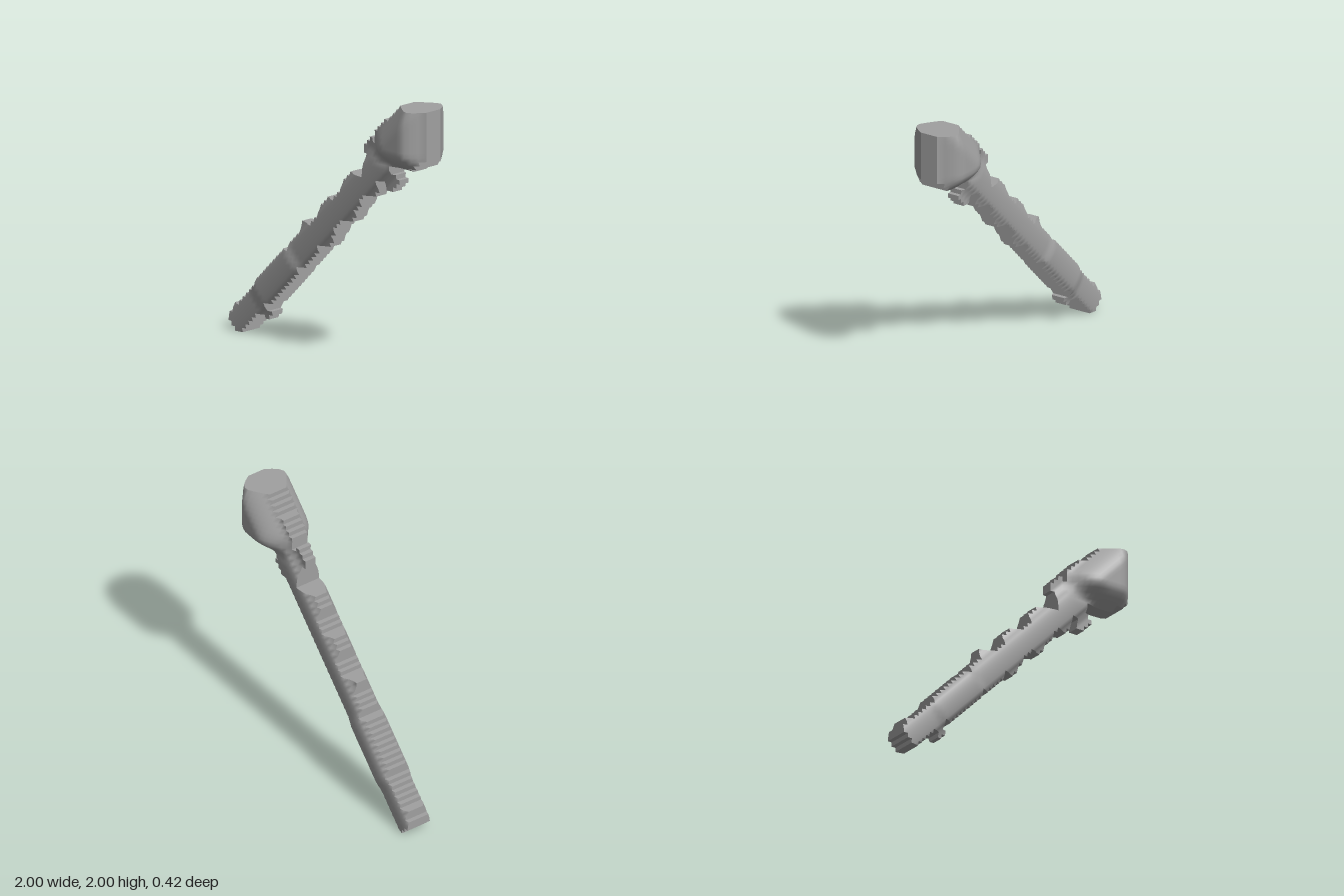
import * as THREE from 'three';

const N = 60, CELL = 2 / N;

// stepped outline as [column, row] key points, in cells
const UPPER = [[0, 4], [1, 6], [2, 6], [7, 11], [8, 13], [15, 20], [16, 21], [17, 21], [18, 23], [20, 25],
  [21, 28], [24, 28], [26, 30], [27, 33], [29, 35], [31, 35], [33, 37], [34, 40], [36, 42], [40, 42],
  [41, 50], [42, 51], [43, 50], [44, 53], [47, 56], [48, 56], [52, 60], [59, 60]];
const LOWER = [[0, 2], [2, 0], [3, 0], [8, 5], [9, 5], [10, 4], [11, 5], [12, 8], [20, 16], [21, 18], [22, 18],
  [26, 22], [27, 24], [29, 24], [30, 25], [31, 27], [33, 30], [34, 31], [36, 31], [37, 32], [38, 34],
  [39, 35], [40, 37], [41, 38], [43, 38], [44, 39], [45, 42], [46, 42], [47, 40], [48, 40], [49, 41],
  [50, 42], [51, 46], [55, 46], [56, 47], [57, 47], [58, 48], [59, 49]];
// notches behind the prongs: [column, first row, end row]
const NOTCHES = [[11, 6, 8], [49, 44, 46], [50, 43, 46]];

function rowAt(line, c) {
  let i = 0;
  while (i < line.length - 2 && line[i + 1][0] <= c) i++;
  const [a, b] = [line[i], line[i + 1]];
  return Math.round(a[1] + (b[1] - a[1]) * (c - a[0]) / (b[0] - a[0]));
}

function filled(c, r) {
  if (c < 0 || r < 0 || c >= N || r >= N) return false;
  if (c === 40 && (r === 47 || r === 48)) return true; // tip of the upper prong
  if (NOTCHES.some(([nc, lo, hi]) => c === nc && r >= lo && r < hi)) return false;
  return r >= rowAt(LOWER, c) && r < rowAt(UPPER, c);
}

const clamp01 = t => Math.min(Math.max(t, 0), 1);
const ease = t => Math.sin(clamp01(t) * Math.PI / 2);
const smooth = (a, b, v) => THREE.MathUtils.smoothstep(v, a, b);

// half thickness at a point: a round shaft with thin fins, swelling into the head
function depth(x, y) {
  const d = Math.abs(y - x - 1) / Math.SQRT2, s = x + y;
  const grip = smooth(-0.48, -0.34, s) * (1 - smooth(0.24, 0.38, s));
  const base = 0.045 + 0.028 * (1 - smooth(0.09, 0.16, d)) + 0.008 * grip;
  const shaft = base + (0.028 + 0.008 * grip) * Math.sqrt(1 - clamp01(d / 0.105) ** 2);
  const head = 0.07 + 0.14 * ease((1 - x) / 0.14) * ease((y - 1.53) / 0.15)
    * ease((x + 1.27 - y) / 1.414 / 0.2) * ease((s - 2.05) / 0.35);
  const k = smooth(2.0, 2.3, s) * smooth(1.5, 1.56, y);
  return THREE.MathUtils.lerp(shaft, head, k);
}

function normalAt(x, y, side) {
  const e = 0.018;
  const dx = (depth(x + e, y) - depth(x - e, y)) / (2 * e);
  const dy = (depth(x, y + e) - depth(x, y - e)) / (2 * e);
  return new THREE.Vector3(-dx, -dy, side).normalize();
}

// rounded front and back faces plus straight stepped walls for the chosen cells
function buildPart(belongs) {
  const pos = [], nor = [];
  const quad = (points, normals) => {
    for (const i of [0, 1, 2, 0, 2, 3]) {
      pos.push(...points[i]);
      nor.push(...normals[i].toArray());
    }
  };
  const xOf = c => c * CELL - 1, yOf = r => r * CELL;
  const corners = [[0, 0], [1, 0], [1, 1], [0, 1]];
  for (let c = 0; c < N; c++) {
    for (let r = 0; r < N; r++) {
      if (!filled(c, r) || !belongs(xOf(c + 0.5), yOf(r + 0.5))) continue;
      const p = corners.map(([i, j]) => [xOf(c + i), yOf(r + j)]);
      for (const side of [1, -1]) {
        const q = side > 0 ? p : [...p].reverse();
        quad(q.map(([x, y]) => [x, y, side * depth(x, y)]), q.map(([x, y]) => normalAt(x, y, side)));
      }
      // walls: below, right, above, left
      [[0, -1], [1, 0], [0, 1], [-1, 0]].forEach(([dx, dy], k) => {
        if (filled(c + dx, r + dy)) return;
        const a = p[k], b = p[(k + 1) % 4], za = depth(...a), zb = depth(...b);
        const n = new THREE.Vector3(dx, dy, 0);
        quad([[...a, za], [...a, -za], [...b, -zb], [...b, zb]], [n, n, n, n]);
      });
    }
  }
  const geo = new THREE.BufferGeometry();
  geo.setAttribute('position', new THREE.Float32BufferAttribute(pos, 3));
  geo.setAttribute('normal', new THREE.Float32BufferAttribute(nor, 3));
  return geo;
}

export function createModel() {
  const group = new THREE.Group();
  group.name = 'staff';
  const grey = new THREE.MeshStandardMaterial({ color: 0xa0a0a0 });
  grey.name = 'grey';

  const isHead = (x, y) => y > 1.53 && x + y > 2.2;
  const isCollar = (x, y) => !isHead(x, y) && x + y > 1.75;
  const isGrip = (x, y) => x + y > -0.42 && x + y < 0.32;
  const parts = {
    head: isHead,
    collar: isCollar,
    grip: isGrip,
    shaft: (x, y) => !isHead(x, y) && !isCollar(x, y) && !isGrip(x, y),
  };
  for (const [name, belongs] of Object.entries(parts)) {
    const mesh = new THREE.Mesh(buildPart(belongs), grey);
    mesh.name = name;
    group.add(mesh);
  }
  return group;
}
